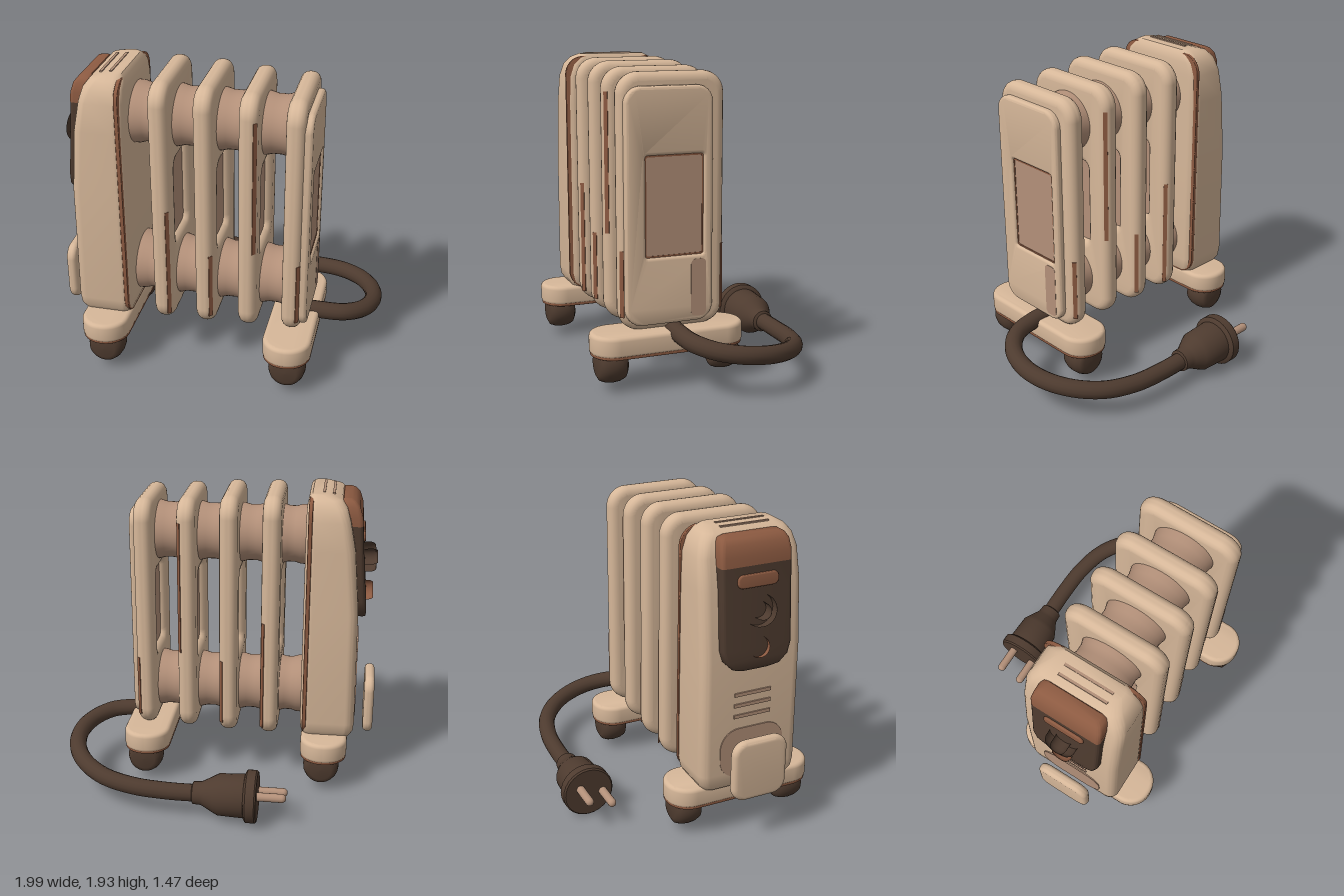
import * as THREE from 'three';
import { toCreasedNormals } from 'three/addons/utils/BufferGeometryUtils.js';

const mat = (name, color) => {
  const m = new THREE.MeshStandardMaterial({ color });
  m.name = name;
  return m;
};

export function createModel() {
  const cream = mat('cream enamel', 0xd6b799);
  const tan = mat('dusty tan', 0xb39079);
  const dark = mat('dark brown rubber', 0x4e3b2f);
  const rust = mat('worn rust brown', 0x8c5a41);

  const model = new THREE.Group();
  model.name = 'oilRadiator';
  const ZC = 0.23; // middle of the body in z

  const add = (name, geo, material, x = 0, y = 0, z = 0) => {
    const mesh = new THREE.Mesh(geo, material);
    mesh.name = name;
    mesh.position.set(x, y, z);
    model.add(mesh);
    return mesh;
  };

  const roundRect = (w, h, r, Type = THREE.Shape) => {
    const s = new Type(), a = w / 2 - r, b = h / 2 - r;
    s.absarc(a, b, r, 0, Math.PI / 2);
    s.absarc(-a, b, r, Math.PI / 2, Math.PI);
    s.absarc(-a, -b, r, Math.PI, Math.PI * 1.5);
    s.absarc(a, -b, r, Math.PI * 1.5, Math.PI * 2);
    s.closePath();
    return s;
  };

  // Rounded slab centred on the origin, thickness along z; the bevel stays inside w and h
  const slabGeo = (w, h, r, t, bevel, hole) => {
    const s = roundRect(w - 2 * bevel, h - 2 * bevel, Math.max(r - bevel, 0.005));
    if (hole) {
      const p = roundRect(hole.w + 2 * bevel, hole.h + 2 * bevel, hole.r + bevel, THREE.Path);
      const pts = p.getPoints(6).map(v => v.add(new THREE.Vector2(-(hole.z || 0), hole.y || 0)));
      s.holes.push(new THREE.Path(pts.reverse()));
    }
    const g = new THREE.ExtrudeGeometry(s, {
      depth: t - 2 * bevel, bevelEnabled: bevel > 0, bevelSize: bevel,
      bevelThickness: bevel, bevelSegments: 4, curveSegments: 8,
    });
    g.translate(0, 0, -(t - 2 * bevel) / 2);
    return toCreasedNormals(g, 0.7);
  };

  // Slab facing along x, from extents in z and y
  const sideSlab = (name, m, x, t, z0, z1, y0, y1, r, bevel, hole) =>
    add(name, slabGeo(z1 - z0, y1 - y0, r, t, bevel, hole).rotateY(Math.PI / 2), m,
      x, (y0 + y1) / 2, (z0 + z1) / 2);

  // Stack of rounded rectangles; each level is [y, x0, x1, z inset]
  const loft = (levels, zc, halfZ, r) => {
    const pos = [], idx = [];
    let n = 0;
    for (const [y, x0, x1, inset] of levels) {
      const w = x1 - x0, d = 2 * (halfZ - inset);
      const ring = roundRect(w, d, Math.min(r, w * 0.4, d * 0.4)).getPoints(6);
      n = ring.length;
      for (const p of ring) pos.push((x0 + x1) / 2 + p.x, y, zc - p.y);
    }
    for (let l = 0; l < levels.length - 1; l++) {
      for (let i = 0; i < n; i++) {
        const j = (i + 1) % n, a = l * n + i, b = l * n + j;
        idx.push(a, b, a + n, b, b + n, a + n);
      }
    }
    const last = (levels.length - 1) * n;
    for (let i = 1; i < n - 1; i++) {
      idx.push(0, i + 1, i, last, last + i, last + i + 1);
    }
    const g = new THREE.BufferGeometry();
    g.setAttribute('position', new THREE.Float32BufferAttribute(pos, 3));
    g.setIndex(idx);
    return toCreasedNormals(g, 0.7);
  };

  const lathe = (pts, seg = 32) =>
    new THREE.LatheGeometry(pts.map(p => new THREE.Vector2(p[0], p[1])), seg);

  // Control housing with a leaning outer face
  add('controlHousing', loft([
    [0.33, -0.82, -0.57, 0.07], [0.345, -0.845, -0.54, 0.035], [0.39, -0.865, -0.525, 0.008],
    [0.45, -0.87, -0.52, 0], [1.2, -0.86, -0.52, 0], [1.6, -0.825, -0.52, 0],
    [1.78, -0.79, -0.52, 0.006], [1.86, -0.765, -0.522, 0.03], [1.905, -0.73, -0.53, 0.065],
    [1.93, -0.65, -0.55, 0.11],
  ], 0.235, 0.325, 0.06), cream);
  sideSlab('housingWornRim', rust, -0.548, 0.026, -0.093, 0.563, 0.345, 1.915, 0.12, 0.006);
  for (const x of [-0.68, -0.62]) {
    add('topVent', new THREE.BoxGeometry(0.016, 0.008, 0.31), tan, x, x < -0.65 ? 1.925 : 1.931, 0.245);
  }
  for (const y of [0.82, 0.89, 0.96]) {
    add('sideVent', new THREE.BoxGeometry(0.009, 0.022, 0.24), tan, -0.868, y, 0.235);
  }

  // Control panel, its cap, knob and button
  add('controlPanel', loft([
    [1.12, -0.89, -0.8, 0.13], [1.14, -0.908, -0.8, 0.07], [1.19, -0.91, -0.8, 0.02],
    [1.26, -0.904, -0.8, 0], [1.6, -0.875, -0.78, 0], [1.74, -0.865, -0.76, 0],
  ], 0.235, 0.225, 0.025), dark);
  add('panelCap', loft([
    [1.74, -0.866, -0.74, 0], [1.8, -0.86, -0.73, 0], [1.86, -0.84, -0.73, 0.008],
    [1.89, -0.815, -0.73, 0.025], [1.903, -0.79, -0.74, 0.05],
  ], 0.235, 0.225, 0.025), rust);
  const scoop = add('panelGrip', slabGeo(0.26, 0.08, 0.035, 0.03, 0.01).rotateY(Math.PI / 2), rust, -0.869, 1.655, 0.235);
  scoop.rotation.z = -0.08;
  const knob = (name, m, r, h, x, y) => {
    const k = add(name, lathe([[0, h], [r * 0.8, h], [r * 0.93, h - 0.012], [r, h - 0.03], [r, 0]]), m, x, y, 0.235);
    k.rotation.z = Math.PI / 2 - 0.07;
  };
  knob('thermostatKnob', dark, 0.095, 0.08, -0.878, 1.485);
  knob('knobCap', dark, 0.05, 0.09, -0.878, 1.485);
  knob('switchButton', rust, 0.063, 0.055, -0.895, 1.265);

  // Detached cover plate and the recess behind it
  sideSlab('housingRecess', tan, -0.869, 0.009, 0.03, 0.45, 0.42, 0.74, 0.12, 0);
  sideSlab('coverPlate', cream, -0.96, 0.064, 0.06, 0.42, 0.31, 0.705, 0.09, 0.028);

  // Oil tubes with a slight flare at every fin
  const fins = [-0.315, -0.05, 0.215, 0.485];
  const stops = [-0.54, ...fins];
  const profile = [];
  for (let i = 0; i < stops.length - 1; i++) {
    const a = stops[i], d = stops[i + 1] - a;
    for (const [t, r] of [[0, 0.2], [0.25, 0.197], [0.4, 0.186], [0.6, 0.186], [0.75, 0.197]]) {
      profile.push([r, a + t * d]);
    }
  }
  profile.push([0.2, 0.5]);
  for (const y of [0.587, 1.623]) {
    const tube = add(y > 1 ? 'upperTube' : 'lowerTube', lathe(profile, 40), tan, 0, y, ZC);
    tube.rotation.z = -Math.PI / 2;
    tube.scale.x = 0.95; // local x becomes height
  }

  // Fins: bevelled frames with a recessed centre web
  const tops = [1.917, 1.91, 1.892, 1.878], bottoms = [0.33, 0.335, 0.35, 0.36];
  const wear = [[0.4, 1.12], [0.42, 0.85], [0.9, 1.75], [0.45, 0.85]];
  fins.forEach((x, i) => {
    const mid = (tops[i] + bottoms[i]) / 2;
    sideSlab('fin', cream, x, 0.115, -0.1, 0.557, bottoms[i], tops[i], 0.13, 0.05,
      { w: 0.3, h: 0.54, r: 0.04, y: 1.105 - mid });
    sideSlab('finWeb', tan, x, 0.03, 0.02, 0.44, 0.75, 1.46, 0.03, 0);
    // Rubbed edges
    for (const side of [1, -1]) {
      const strip = add('wornEdge', new THREE.BoxGeometry(0.026, wear[i][1] - wear[i][0], 0.008), rust,
        x + 0.041, (wear[i][0] + wear[i][1]) / 2, side > 0 ? 0.541 : -0.084);
      strip.rotation.y = side * Math.PI / 4;
    }
  });

  // End cover with framed window
  sideSlab('endCover', cream, 0.54, 0.085, -0.01, 0.53, 0.4, 1.8, 0.1, 0.02,
    { w: 0.36, h: 0.6, r: 0.015, y: 0.005, z: -0.03 });
  sideSlab('windowPanel', tan, 0.555, 0.02, 0.0, 0.46, 0.76, 1.45, 0.02, 0);
  sideSlab('windowFrame', rust, 0.564, 0.008, 0.047, 0.413, 0.805, 1.405, 0.02, 0,
    { w: 0.345, h: 0.58, r: 0.01 });
  sideSlab('endRecess', tan, 0.581, 0.006, 0.035, 0.13, 0.43, 0.78, 0.03, 0);

  // Feet with rust trim, and wheels
  const wheel = lathe([[0, -0.093], [0.07, -0.09], [0.098, -0.075], [0.112, -0.04], [0.116, 0],
    [0.112, 0.04], [0.098, 0.075], [0.07, 0.09], [0, 0.093]], 28).rotateX(Math.PI / 2);
  for (const x of [-0.68, 0.48]) {
    const flat = (name, m, w, l, t, bevel, y) =>
      add(name, slabGeo(w, l, w / 2 - 0.005, t, bevel).rotateX(-Math.PI / 2), m, x, y, 0.247);
    flat('foot', cream, 0.3, 0.96, 0.13, 0.025, 0.297);
    flat('footTrim', rust, 0.294, 0.95, 0.02, 0.004, 0.236);
    flat('footUnderside', tan, 0.25, 0.9, 0.008, 0, 0.224);
    for (const z of [-0.105, 0.605]) add('wheel', wheel, dark, x + 0.01, 0.17, z);
  }

  // Power cord sweeping round to the back
  const cord = new THREE.CatmullRomCurve3([
    [0.5, 0.35, 0.22], [0.62, 0.345, 0.22], [0.78, 0.33, 0.19], [0.89, 0.305, 0.09],
    [0.94, 0.28, -0.06], [0.92, 0.255, -0.23], [0.83, 0.23, -0.39], [0.68, 0.205, -0.51],
    [0.48, 0.185, -0.57], [0.28, 0.175, -0.585], [0.05, 0.172, -0.585],
  ].map(p => new THREE.Vector3(...p)));
  add('powerCord', new THREE.TubeGeometry(cord, 80, 0.055, 14), dark);

  // Plug and prongs
  const plug = add('plug', toCreasedNormals(lathe([
    [0, -0.3], [0.155, -0.3], [0.164, -0.29], [0.164, -0.235], [0.152, -0.225], [0.137, -0.22],
    [0.13, -0.06], [0.115, -0.03], [0.082, 0.03], [0.073, 0.05], [0.07, 0.1], [0.05, 0.11], [0, 0.11],
  ], 28), 0.7), dark, 0, 0.172, -0.582);
  plug.rotation.z = -Math.PI / 2;
  for (const [y, z] of [[0.205, -0.637], [0.16, -0.49]]) {
    const prong = add('prong', new THREE.CapsuleGeometry(0.027, 0.16, 6, 14), tan, -0.373, y, z);
    prong.rotation.z = Math.PI / 2;
  }

  return model;
}
